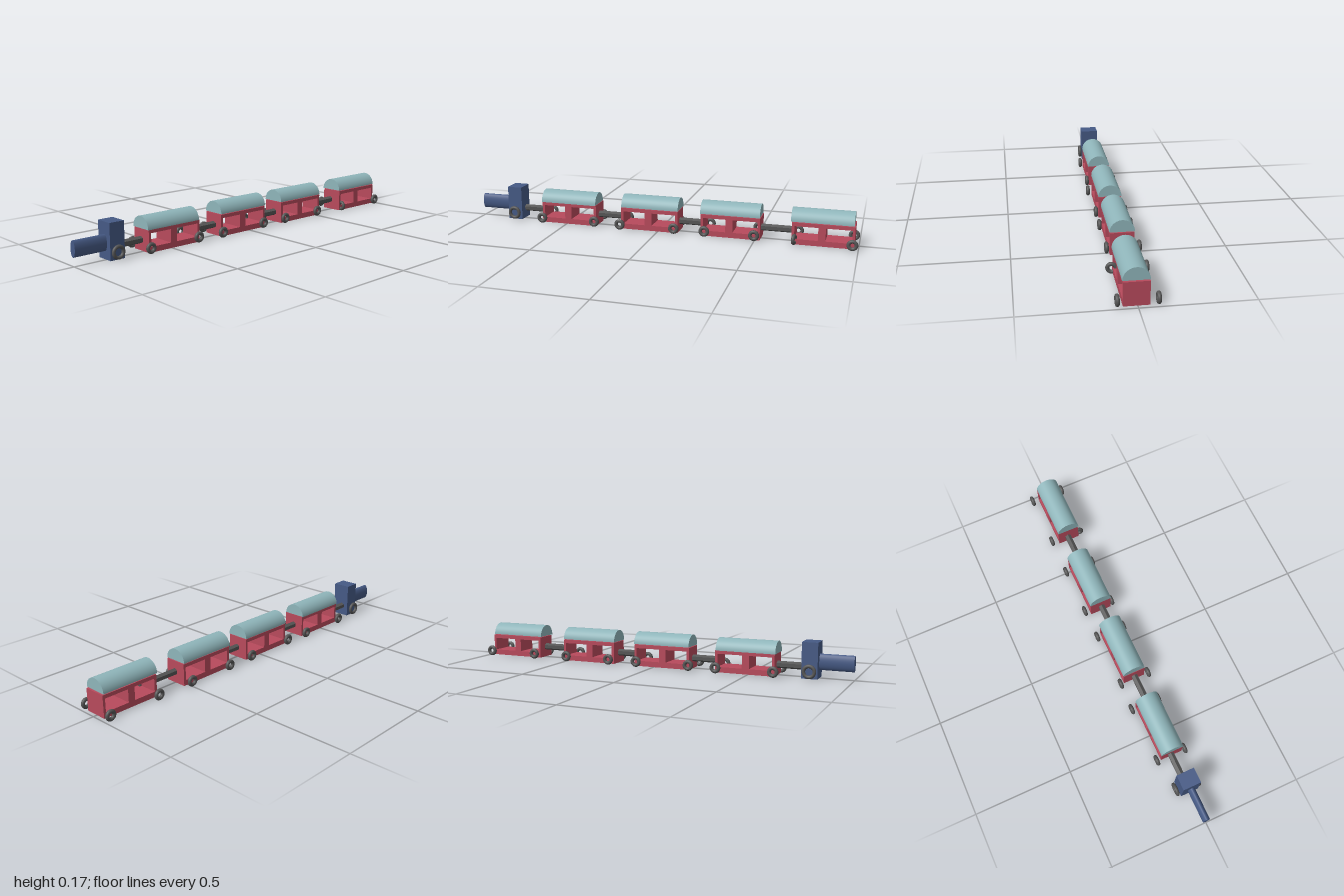
import * as THREE from 'three';

const paint = (color) => new THREE.MeshStandardMaterial({ color });
const red = paint(0xb84a5c);
const teal = paint(0x8fb5ba);
const blue = paint(0x465a85);
const grey = paint(0x555555);

function add(parent, name, geometry, material, x, y, z) {
  const mesh = new THREE.Mesh(geometry, material);
  mesh.name = name;
  mesh.position.set(x, y, z);
  parent.add(mesh);
  return mesh;
}

const CAR_LENGTH = 0.3, CAR_HEIGHT = 0.11, CAR_WIDTH = 0.113, ROOF_RADIUS = 0.0585;

// Solid block pierced from side to side by two windows
function bodyGeometry() {
  const rect = (target, x0, y0, x1, y1) => {
    target.moveTo(x0, y0);
    target.lineTo(x1, y0);
    target.lineTo(x1, y1);
    target.lineTo(x0, y1);
    target.closePath();
    return target;
  };
  const shape = rect(new THREE.Shape(), 0, 0, CAR_LENGTH, CAR_HEIGHT);
  for (const [x0, x1] of [[0.013, 0.127], [0.163, 0.288]]) {
    shape.holes.push(rect(new THREE.Path(), x0, 0.027, x1, 0.092));
  }
  return new THREE.ExtrudeGeometry(shape, { depth: CAR_WIDTH, bevelEnabled: false })
    .translate(0, 0, -CAR_WIDTH / 2);
}

// Half barrel lying along x, with its flat underside
function addRoof(car, x, y, z) {
  const barrel = new THREE.CylinderGeometry(ROOF_RADIUS, ROOF_RADIUS, CAR_LENGTH, 40, 1, false, 0, Math.PI)
    .rotateZ(Math.PI / 2);
  const under = new THREE.PlaneGeometry(CAR_LENGTH, ROOF_RADIUS * 2).rotateX(Math.PI / 2);
  add(car, 'roof', barrel, teal, x, y, z);
  add(car, 'roofUnderside', under, teal, x, y, z);
}

const wheelGeometry = new THREE.TorusGeometry(0.0185, 0.009, 14, 32);

export function createModel() {
  const train = new THREE.Group();
  train.name = 'toyTrain';

  // Locomotive: flattened boiler, cab and two larger wheels
  const engine = new THREE.Group();
  engine.name = 'engine';
  train.add(engine);
  const boiler = new THREE.CylinderGeometry(0.039, 0.039, 0.17, 32)
    .rotateZ(Math.PI / 2).scale(1, 1, 0.46);
  add(engine, 'boiler', boiler, blue, -0.915, 0.079, -0.005);
  add(engine, 'cab', new THREE.BoxGeometry(0.077, 0.174, 0.091), blue, -0.7985, 0.088, -0.008);
  for (const z of [0.047, -0.068]) {
    add(engine, 'engineWheel', new THREE.TorusGeometry(0.026, 0.0085, 14, 32), grey, -0.8, 0.038, z);
  }

  // Carriages: start x, centre z, roof start x, roof base y, roof z, wheels [x, z]
  const cars = [
    { x: -0.634, z: -0.009, roofX: -0.637, roofY: 0.109, roofZ: -0.01,
      wheels: [[-0.632, 0.062], [-0.343, 0.056], [-0.632, -0.088], [-0.343, -0.091]] },
    { x: -0.195, z: -0.009, roofX: -0.194, roofY: 0.114, roofZ: -0.01,
      wheels: [[-0.198, 0.067], [0.087, 0.059], [-0.198, -0.085], [0.087, -0.09]] },
    { x: 0.225, z: -0.007, roofX: 0.223, roofY: 0.114, roofZ: -0.007,
      wheels: [[0.246, 0.062], [0.497, 0.062], [0.246, -0.091], [0.497, -0.091]] },
    { x: 0.681, z: 0.005, roofX: 0.676, roofY: 0.115, roofZ: 0.006,
      wheels: [[0.695, 0.067, 1.4], [0.972, 0.084], [0.698, -0.088], [0.972, -0.088]] },
  ];
  const body = bodyGeometry();
  for (const c of cars) {
    const car = new THREE.Group();
    car.name = 'carriage';
    train.add(car);
    add(car, 'carriageBody', body, red, c.x, 0.001, c.z);
    addRoof(car, c.roofX + CAR_LENGTH / 2, c.roofY, c.roofZ);
    // One wheel is knocked sideways
    for (const [x, z, turn = 0] of c.wheels) {
      add(car, 'carriageWheel', wheelGeometry, grey, x, 0.0275, z).rotation.y = turn;
    }
  }

  // Six-sided coupling bars between the vehicles: x from, x to, y, z
  for (const [x0, x1, y, z] of [
    [-0.765, -0.63, 0.054, -0.015],
    [-0.338, -0.19, 0.054, -0.008],
    [0.1, 0.229, 0.054, -0.003],
    [0.52, 0.675, 0.057, -0.001],
  ]) {
    const bar = new THREE.CylinderGeometry(0.0175, 0.0175, x1 - x0, 6)
      .rotateY(Math.PI / 2).rotateZ(Math.PI / 2).toNonIndexed();
    bar.computeVertexNormals();
    add(train, 'coupling', bar, grey, (x0 + x1) / 2, y, z);
  }
  return train;
}
